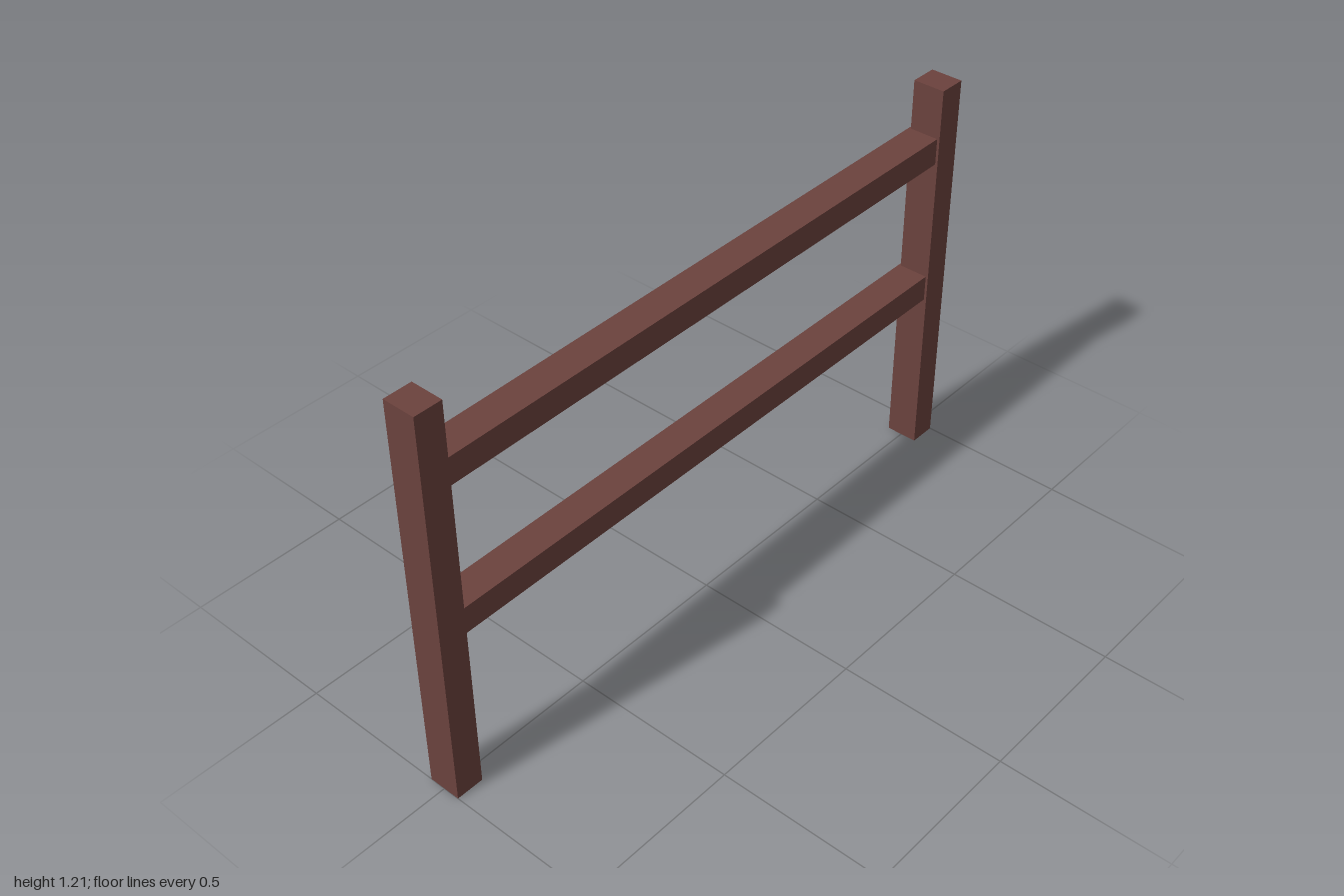
import * as THREE from 'three';

export function createModel() {
  const group = new THREE.Group();
  const wood = new THREE.MeshStandardMaterial({ color: 0x6b423d, flatShading: true });

  const beam = (name, w, h, d, x, y, z) => {
    const mesh = new THREE.Mesh(new THREE.BoxGeometry(w, h, d), wood);
    mesh.name = name;
    mesh.position.set(x, y, z);
    group.add(mesh);
    return mesh;
  };

  // Upright posts at both ends
  const postHeight = 1.21, postDepth = 0.083;
  for (const [name, side] of [['frontPost', 1], ['backPost', -1]]) {
    beam(name, 0.098, postHeight, postDepth, 0.001, postHeight / 2, side * (1 - postDepth / 2));
  }

  // Rails, slightly crooked: the back end sits higher and a touch to the right
  for (const [name, y] of [['lowerRail', 0.559], ['upperRail', 1.014]]) {
    const rail = beam(name, 0.097, 0.08, 1.85, -0.003, y, 0);
    rail.rotation.set(0.0063, 0.0035, 0);
  }

  return group;
}
